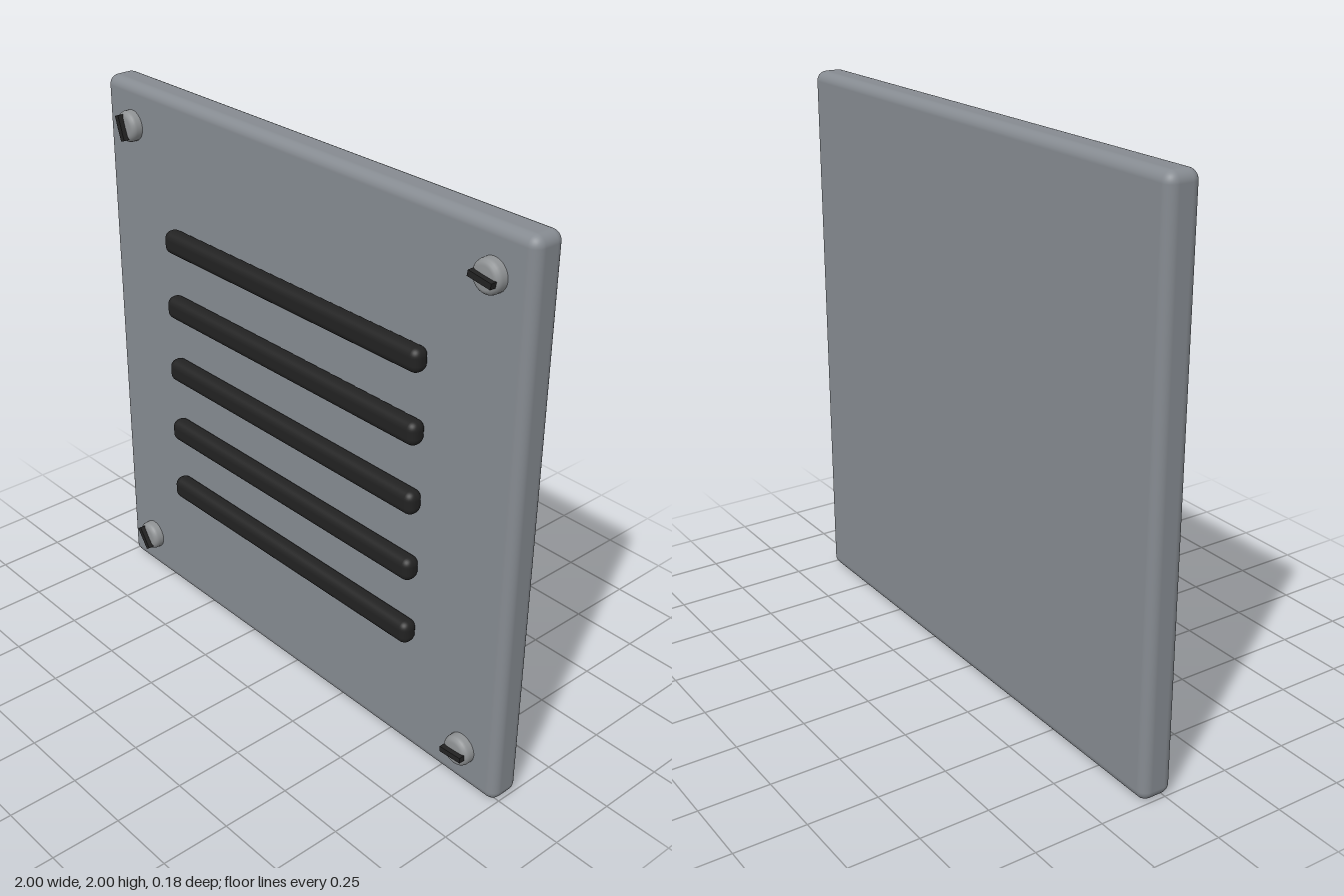
import * as THREE from 'three';
import { RoundedBoxGeometry } from 'three/addons/geometries/RoundedBoxGeometry.js';

const material = (name, color) => {
  const m = new THREE.MeshStandardMaterial({ color });
  m.name = name;
  return m;
};

export function createModel() {
  const group = new THREE.Group();
  group.name = 'ventPanel';
  const plateGrey = material('plateGrey', 0x868b91);
  const screwGrey = material('screwGrey', 0x8f9294);
  const black = material('black', 0x222222);

  const add = (parent, name, geometry, mat, x, y, z) => {
    const mesh = new THREE.Mesh(geometry, mat);
    mesh.name = name;
    mesh.position.set(x, y, z);
    parent.add(mesh);
    return mesh;
  };

  // Backing plate with softened edges
  add(group, 'plate', new RoundedBoxGeometry(2, 2, 0.12, 4, 0.036), plateGrey, 0, 1, -0.03);

  // Five raised dark louvres
  const louvre = new RoundedBoxGeometry(1.25, 0.085, 0.064, 4, 0.029);
  for (let i = 0; i < 5; i++) {
    add(group, 'louvre', louvre, black, 0, 0.5 + i * 0.25, 0.058);
  }

  // Round screw heads with a softened rim, each turned to its own angle
  const profile = [[0.055, 0], [0.055, 0.02], [0.052, 0.029], [0.046, 0.036], [0.036, 0.04], [0, 0.041]]
    .map(([r, h]) => new THREE.Vector2(r, h));
  const head = new THREE.LatheGeometry(profile, 32).rotateX(Math.PI / 2);
  const slot = new THREE.BoxGeometry(0.09, 0.02, 0.025);
  for (const [x, y, degrees] of [[-0.85, 1.85, -71], [0.85, 1.85, -9], [-0.85, 0.15, -54], [0.85, 0.15, 4]]) {
    const screw = new THREE.Group();
    screw.name = 'screw';
    screw.position.set(x, y, 0.03);
    screw.rotation.z = THREE.MathUtils.degToRad(degrees);
    add(screw, 'screwHead', head, screwGrey, 0, 0, 0);
    add(screw, 'screwSlot', slot, black, 0, 0, 0.0455);
    group.add(screw);
  }
  return group;
}
